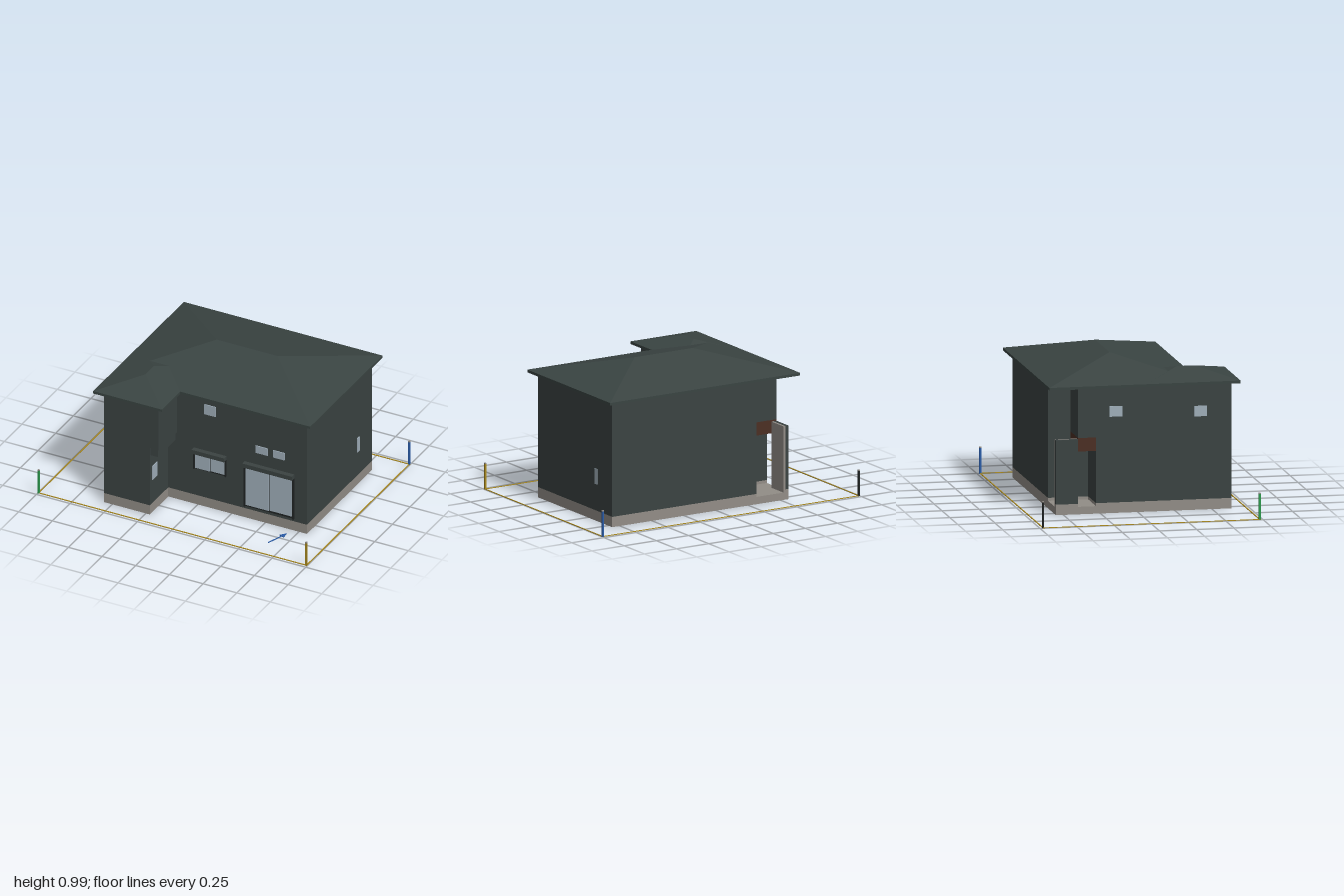
import * as THREE from 'three';
import { ConvexGeometry } from 'three/addons/geometries/ConvexGeometry.js';

const mat = (name, color) => {
  const m = new THREE.MeshStandardMaterial({ color });
  m.name = name;
  return m;
};

export function createModel() {
  const house = new THREE.Group();
  house.name = 'house';
  const siding = mat('siding', 0x3b4342);
  const roofing = mat('roofing', 0x3a4442);
  const concrete = mat('concrete', 0x928d87);
  const glass = mat('glass', 0xa0afba);
  const wood = mat('wood', 0x4c2f24);
  const underside = mat('underside', 0x2a1c19);
  const black = mat('black trim', 0x1f2323);
  const yellow = mat('yellow', 0xa8881f);
  const green = mat('green', 0x2b9a4c);
  const blue = mat('blue', 0x2a5ca8);

  const add = (name, geometry, material) => {
    const mesh = new THREE.Mesh(geometry, material);
    mesh.name = name;
    house.add(mesh);
    return mesh;
  };
  // Box given by its limits on each axis
  const box = (name, x0, x1, y0, y1, z0, z1, material) => {
    const g = new THREE.BoxGeometry(x1 - x0, y1 - y0, z1 - z0);
    g.translate((x0 + x1) / 2, (y0 + y1) / 2, (z0 + z1) / 2);
    return add(name, g, material);
  };
  // Upright prism over a floor plan of [x, z] points
  const prism = (name, plan, y0, y1, material, hole) => {
    const toPoints = (list) => list.map(([x, z]) => new THREE.Vector2(x, -z));
    const shape = new THREE.Shape(toPoints(plan));
    if (hole) shape.holes.push(new THREE.Path(toPoints(hole)));
    const g = new THREE.ExtrudeGeometry(shape, { depth: y1 - y0, bevelEnabled: false });
    g.rotateX(-Math.PI / 2);
    g.translate(0, y0, 0);
    return add(name, g, material);
  };
  // L-shaped plan with a porch notch; wing = wing's inner wall, porch = notch depth, t = inset
  const plan = (wing, porch, t = 0) => [
    [-0.56 + t, 0.63 - t], [wing - t, 0.63 - t], [wing - t, 0.37 - t], [0.81 - t, 0.37 - t],
    [0.81 - t, -0.55 + t], [-0.31 + t, -0.55 + t], [-0.31 + t, porch + t], [-0.56 + t, porch + t],
  ];

  // Foundation, floor and walls
  const inner = plan(-0.22, -0.28, 0.025);
  prism('foundation', plan(-0.22, -0.28), 0, 0.07, concrete, inner);
  prism('floorUnderside', inner, 0.055, 0.07, underside);
  prism('lowerWalls', plan(-0.22, -0.28), 0.07, 0.51, siding);
  prism('upperWalls', plan(-0.155, -0.4), 0.51, 0.85, siding);
  box('wingLedge', -0.23, -0.165, 0.45, 0.51, 0.36, 0.62, siding);

  // Corner porch
  box('porchSlab', -0.56, -0.31, 0, 0.05, -0.55, -0.13, concrete);
  box('porchCanopy', -0.56, -0.31, 0.42, 0.51, -0.4, -0.28, wood);
  box('porchSoffit', -0.56, -0.31, 0.84, 0.845, -0.55, -0.4, wood);
  box('porchScreenBase', -0.56, -0.52, 0.05, 0.07, -0.55, -0.4, concrete);
  box('porchScreenOuter', -0.56, -0.535, 0.07, 0.5, -0.55, -0.4, siding);
  box('porchScreenInner', -0.535, -0.52, 0.07, 0.5, -0.55, -0.4, concrete);

  // Two crossing hipped roofs with a shallow eave edge
  const hip = (name, x0, x1, z0, z1, ridge) => {
    const pts = ridge.map((p) => new THREE.Vector3(...p));
    for (const y of [0.845, 0.863])
      for (const x of [x0, x1]) for (const z of [z0, z1]) pts.push(new THREE.Vector3(x, y, z));
    add(name, new ConvexGeometry(pts), roofing);
  };
  hip('mainRoof', -0.615, 0.86, -0.605, 0.42, [[-0.103, 0.99, -0.0925], [0.348, 0.99, -0.0925]]);
  hip('wingRoof', -0.615, -0.105, 0.05, 0.68, [[-0.36, 0.928, 0.305], [-0.36, 0.928, 0.425]]);

  // Front windows: [x0, x1, y0, y1]
  const frontPane = ([x0, x1, y0, y1]) => box('frontWindow', x0, x1, y0, y1, 0.37, 0.376, glass);
  [
    [0.05, 0.135, 0.71, 0.785], [0.43, 0.52, 0.52, 0.575], [0.56, 0.645, 0.52, 0.575],
    [-0.02, 0.09, 0.28, 0.395], [0.097, 0.2, 0.285, 0.383],
    [0.358, 0.528, 0.1, 0.395], [0.535, 0.708, 0.105, 0.383],
  ].forEach(frontPane);

  // Frames and shutter hoods of the two sliding windows
  for (const [x0, x1, y0] of [[-0.028, 0.212, 0.275], [0.348, 0.716, 0.09]]) {
    box('windowFrame', x0, x1, y0, 0.4, 0.37, 0.373, black);
    for (const x of [x0, x1 - 0.008]) box('frameSide', x, x + 0.008, y0, 0.4, 0.37, 0.385, black);
    box('shutterHood', x0, x1, 0.4, 0.43, 0.37, 0.405, siding);
  }

  // Side windows: [wall x, z0, z1, y0, y1]
  for (const [x, z0, z1, y0, y1] of [
    [-0.22, 0.53, 0.6, 0.25, 0.355], [0.81, -0.37, -0.337, 0.25, 0.355],
    [-0.56, -0.19, -0.105, 0.645, 0.715], [-0.56, 0.38, 0.465, 0.625, 0.695],
  ]) box('sideWindow', x - 0.005, x + 0.005, y0, y1, z0, z1, glass);

  // Plot boundary strips and corner posts
  for (const s of [-1, 1]) {
    box('boundaryStrip', -1, 1, 0, 0.004, s * 0.728 - 0.004, s * 0.728 + 0.004, yellow);
    box('boundaryStrip', s * 0.995 - 0.004, s * 0.995 + 0.004, 0, 0.004, -0.728, 0.728, yellow);
  }
  for (const [x, z, m] of [
    [-0.994, 0.728, green], [0.994, 0.728, yellow], [0.994, -0.728, blue], [-0.994, -0.728, black],
  ]) {
    box('cornerPost', x - 0.006, x + 0.006, 0, 0.172, z - 0.006, z + 0.006, m);
    box('postCap', x - 0.006, x + 0.006, 0.172, 0.18, z - 0.006, z + 0.006, concrete);
  }

  // Flat arrow on the ground pointing at the front wall
  const arrow = prism('groundArrow', [
    [-0.003, 0], [0.003, 0], [0.003, -0.12], [0.02, -0.12], [0, -0.167], [-0.02, -0.12], [-0.003, -0.12],
  ], 0, 0.005, blue);
  arrow.position.set(0.637, 0, 0.59);
  arrow.rotation.y = -0.34;

  return house;
}
